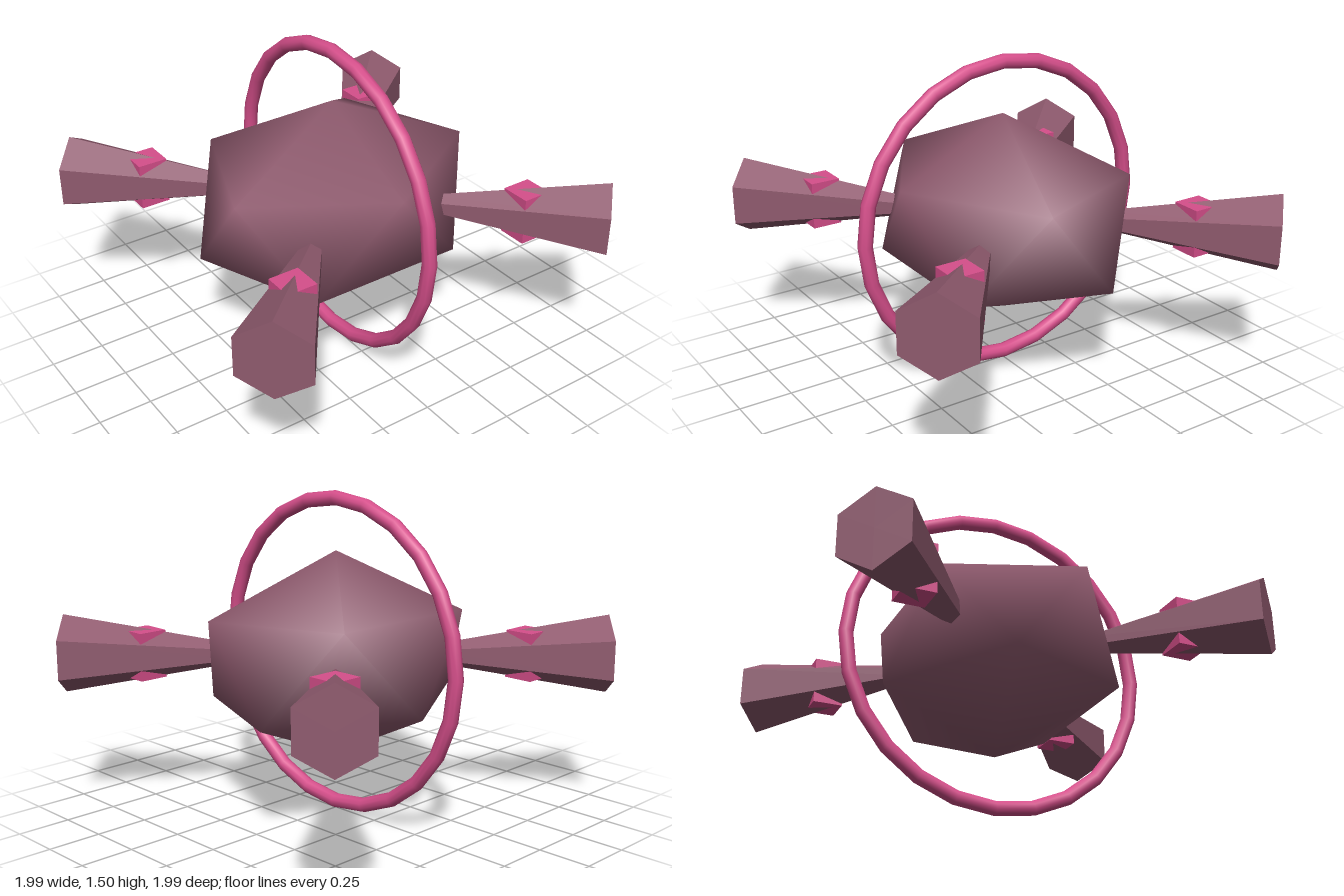
import * as THREE from 'three';

const CENTRE_Y = 0.756;

// Smooth twenty-sided solid standing on one corner: two poles and two rings of five
function coreGeometry(rx, ry, rz) {
  const points = [0, ry, 0];
  const ringY = 1 / Math.sqrt(5), ringR = 2 / Math.sqrt(5);
  for (const [side, turn] of [[1, 0], [-1, 0.5]]) {
    for (let i = 0; i < 5; i++) {
      const a = (i + turn) * Math.PI * 2 / 5;
      points.push(rx * ringR * Math.cos(a), side * ry * ringY, rz * ringR * Math.sin(a));
    }
  }
  points.push(0, -ry, 0);
  const faces = [];
  for (let i = 0; i < 5; i++) {
    const j = (i + 1) % 5;
    const u = 1 + i, v = 1 + j, l = 6 + i, m = 6 + j;
    faces.push(0, v, u, u, v, l, l, v, m, l, m, 11);
  }
  const g = new THREE.BufferGeometry();
  g.setAttribute('position', new THREE.Float32BufferAttribute(points, 3));
  g.setIndex(faces);
  g.computeVertexNormals();
  return g;
}

// Six-sided tapered arm lying along +z, one ridge on top
function armGeometry(start, end, startRadius, endRadius) {
  const g = new THREE.CylinderGeometry(endRadius, startRadius, end - start, 6).toNonIndexed();
  g.computeVertexNormals();
  g.rotateX(Math.PI / 2);
  g.translate(0, 0, (start + end) / 2);
  return g;
}

export function createModel() {
  const model = new THREE.Group();
  model.name = 'ringedCore';

  const mauve = new THREE.MeshStandardMaterial({ color: 0x8f5a6e });
  mauve.name = 'mauve';
  const pink = new THREE.MeshStandardMaterial({ color: 0xd64f8b });
  pink.name = 'pink';

  const add = (name, geometry, material, x = 0, z = 0) => {
    const mesh = new THREE.Mesh(geometry, material);
    mesh.name = name;
    mesh.position.set(x, CENTRE_Y, z);
    model.add(mesh);
    return mesh;
  };

  add('core', coreGeometry(0.598, 0.479, 0.722), mauve);
  add('ring', new THREE.TorusGeometry(0.716, 0.034, 10, 24), pink);

  // Four diagonal arms, each with a block whose corners break through the surface
  const arm = armGeometry(0.45, 1.252, 0.043, 0.183);
  const block = new THREE.BoxGeometry(0.14, 0.222, 0.14);
  for (const [sx, sz, place] of [[1, 1, 'FrontLeft'], [1, -1, 'BackLeft'],
    [-1, 1, 'FrontRight'], [-1, -1, 'BackRight']]) {
    add('arm' + place, arm, mauve).rotation.y = Math.atan2(sx, sz);
    add('armBlock' + place, block, pink, sx * 0.625, sz * 0.625);
  }
  return model;
}
